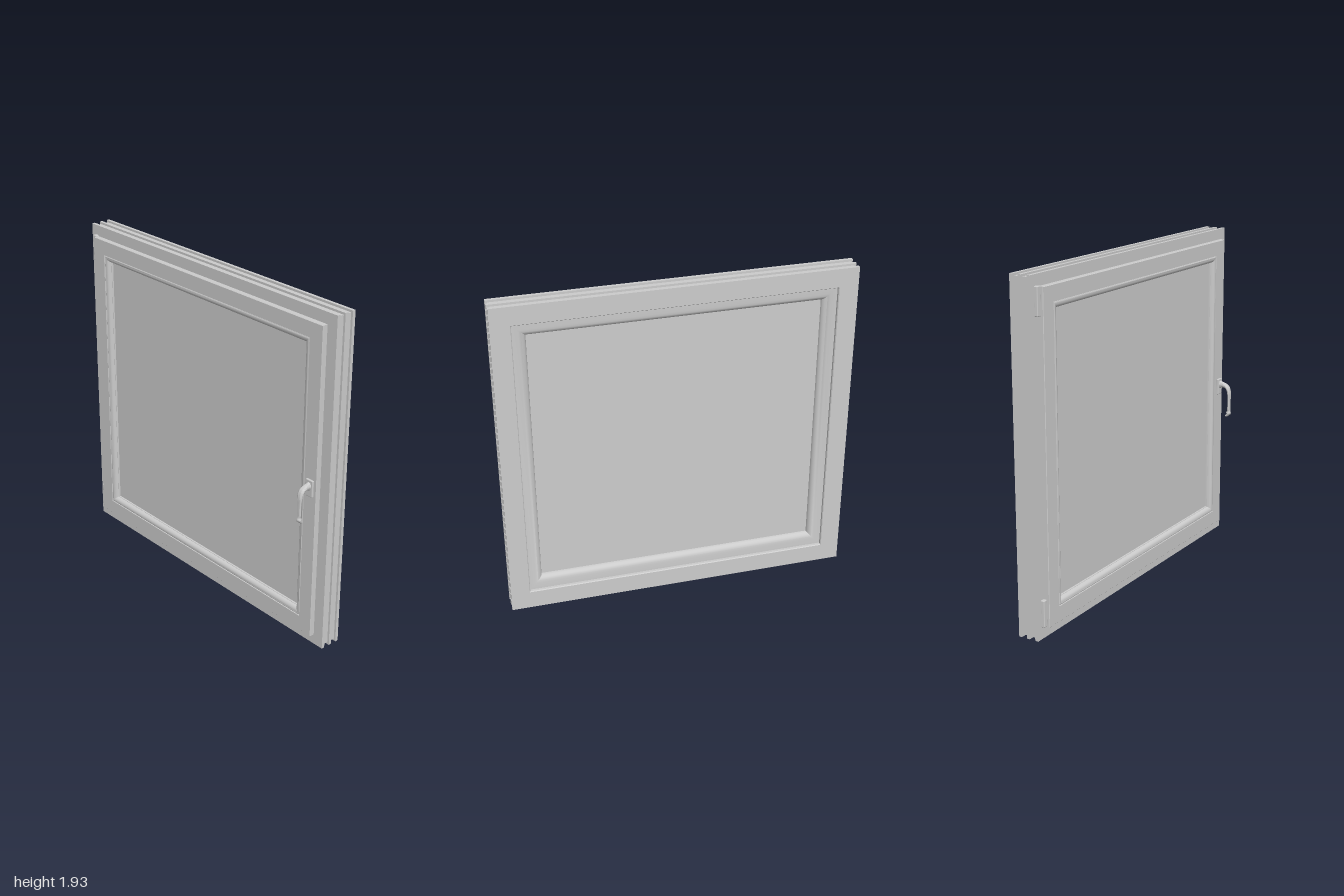
import * as THREE from 'three';
import { toCreasedNormals } from 'three/addons/utils/BufferGeometryUtils.js';
import { RoundedBoxGeometry } from 'three/addons/geometries/RoundedBoxGeometry.js';

const HALF_W = 1, HALF_H = 0.965;
const grey = new THREE.MeshStandardMaterial({ color: 0xcccccc });

function part(name, geometry, x = 0, y = 0, z = 0) {
  const mesh = new THREE.Mesh(geometry, grey);
  mesh.name = name;
  mesh.position.set(x, y, z);
  return mesh;
}

function indexed(positions, index, crease) {
  const geo = new THREE.BufferGeometry();
  geo.setAttribute('position', new THREE.Float32BufferAttribute(positions, 3));
  geo.setIndex(index);
  return toCreasedNormals(geo, crease);
}

// Sweeps a closed profile of [inset, z] around the window with mitred corners.
// Profile order: along the front inwards, then along the back outwards.
function mitredRing(profile) {
  const corners = [[-1, -1], [1, -1], [1, 1], [-1, 1]];
  const positions = [], index = [], n = profile.length;
  for (const [sx, sy] of corners)
    for (const [inset, z] of profile)
      positions.push(sx * (HALF_W - inset), HALF_H + sy * (HALF_H - inset), z);
  for (let k = 0; k < 4; k++)
    for (let i = 0; i < n; i++) {
      const k2 = (k + 1) % 4, i2 = (i + 1) % n;
      const a = k * n + i, b = k2 * n + i, c = k2 * n + i2, d = k * n + i2;
      index.push(a, b, c, a, c, d);
    }
  return indexed(positions, index, 0.6);
}

// Lofts ellipses along a path in the yz plane; rows are [y, z, halfWidth, halfThickness].
function loft(rows, steps = 48, sides = 20) {
  const path = new THREE.CatmullRomCurve3(rows.map(r => new THREE.Vector3(0, r[0], r[1])));
  const size = new THREE.CatmullRomCurve3(rows.map(r => new THREE.Vector3(r[2], r[3], 0)));
  const positions = [], index = [];
  for (let i = -1; i <= steps + 1; i++) {
    const t = THREE.MathUtils.clamp(i / steps, 0, 1);
    const cap = i < 0 || i > steps ? 0 : 1; // end rings collapse to close the caps
    const p = path.getPoint(t), d = path.getTangent(t), s = size.getPoint(t);
    for (let j = 0; j < sides; j++) {
      const a = j / sides * Math.PI * 2;
      const u = Math.cos(a) * s.x * cap, v = Math.sin(a) * s.y * cap;
      positions.push(u, p.y + d.z * v, p.z - d.y * v);
    }
  }
  for (let i = 0; i < steps + 2; i++)
    for (let j = 0; j < sides; j++) {
      const a = i * sides + j, b = i * sides + (j + 1) % sides;
      index.push(a, b, b + sides, a, b + sides, a + sides);
    }
  return indexed(positions, index, 0.8);
}

export function createModel() {
  const model = new THREE.Group();
  model.name = 'window';

  // Fixed outer frame, with three fins and two grooves round its rim
  model.add(part('outerFrame', mitredRing([
    [0, 0.003], [0.1, 0.003], [0.1, -0.1], [0.112, -0.1], [0.112, -0.115], [0.108, -0.12],
    [0, -0.12], [0, -0.102], [0.012, -0.102], [0.012, -0.069], [0, -0.069],
    [0, -0.051], [0.012, -0.051], [0.012, -0.016], [0, -0.016],
  ])));

  // Opening sash: overlapping lip in front, rounded inner edge behind
  model.add(part('sash', mitredRing([
    [0.062, 0.032], [0.065, 0.035], [0.15, 0.035], [0.15, 0.0], [0.19, 0.0], [0.19, -0.066],
    [0.187, -0.078], [0.178, -0.088], [0.165, -0.095], [0.15, -0.098],
    [0.102, -0.098], [0.102, 0.006], [0.062, 0.006],
  ])));

  // Rounded bead holding the pane
  model.add(part('glazingBead', mitredRing([
    [0.153, 0.031], [0.158, 0.034], [0.168, 0.033], [0.178, 0.028],
    [0.185, 0.02], [0.188, 0.011], [0.19, 0.011], [0.19, -0.002], [0.153, -0.002],
  ])));

  // Pane
  model.add(part('glass', new THREE.BoxGeometry(1.63, 1.56, 0.062), 0, HALF_H, -0.031));

  // Hinge covers on the right-hand edge
  for (const [name, y] of [['upperHinge', 1.797], ['lowerHinge', 0.145]])
    model.add(part(name, new RoundedBoxGeometry(0.028, 0.152, 0.024, 2, 0.005), -0.954, y, 0.011));

  // Handle: rose plate and a lever that bends down and hooks in at its tip
  const handle = new THREE.Group();
  handle.name = 'handle';
  handle.position.x = 0.895;
  handle.add(part('handlePlate', new RoundedBoxGeometry(0.05, 0.096, 0.014, 2, 0.004), 0, 0.963, 0.04));
  handle.add(part('handleLever', loft([
    [0.975, 0.04, 0.02, 0.025], [0.975, 0.055, 0.015, 0.021], [0.972, 0.08, 0.018, 0.015],
    [0.962, 0.098, 0.019, 0.012], [0.935, 0.109, 0.018, 0.01], [0.88, 0.111, 0.014, 0.009],
    [0.82, 0.11, 0.013, 0.009], [0.793, 0.107, 0.013, 0.009], [0.78, 0.094, 0.012, 0.007],
  ])));
  model.add(handle);

  return model;
}
